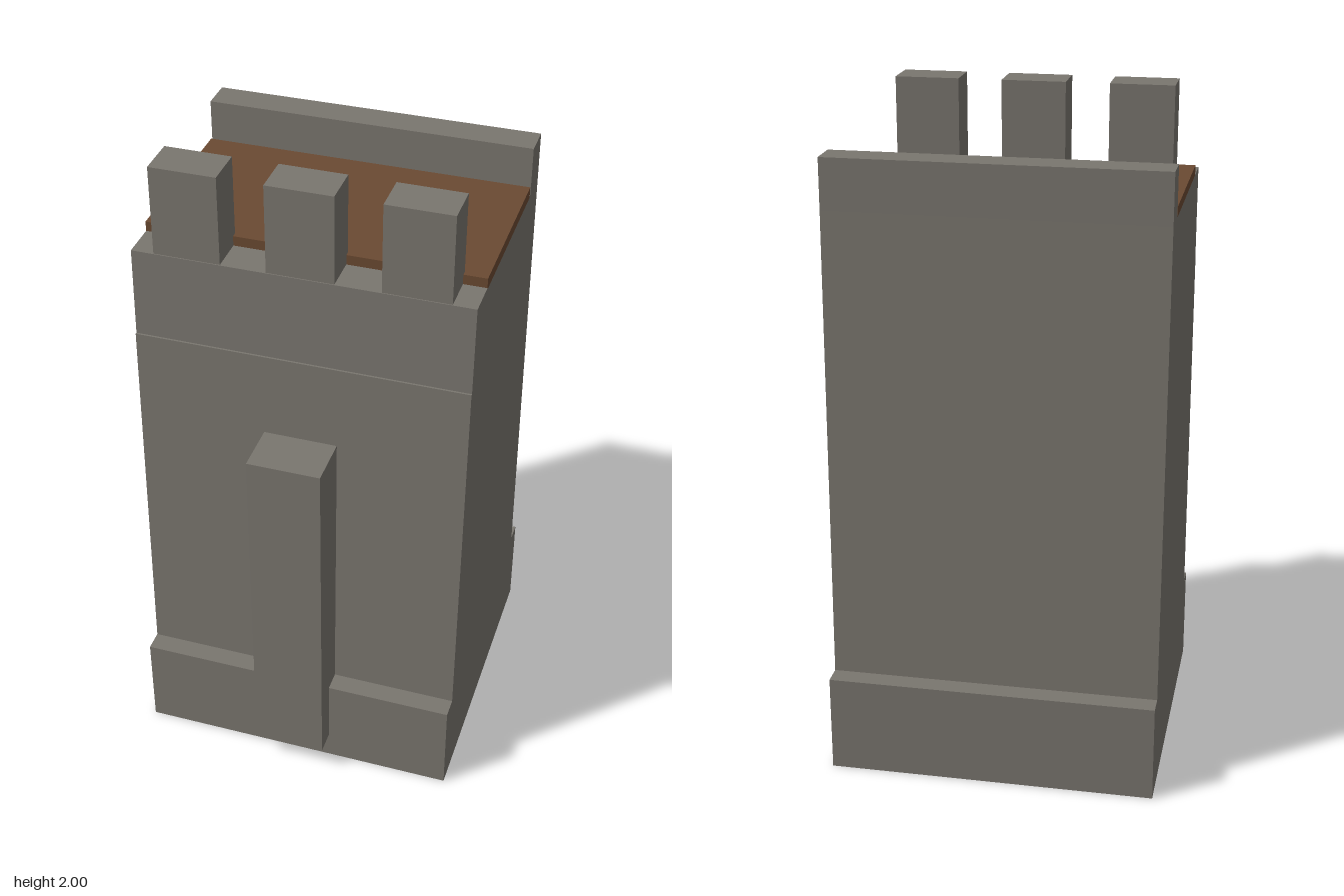
import * as THREE from 'three';

const X0 = -0.495, X1 = 0.493; // ends of the wall section

export function createModel() {
  const model = new THREE.Group();
  const stone = new THREE.MeshStandardMaterial({ color: 0x7a766f });
  stone.name = 'greyStone';
  const wood = new THREE.MeshStandardMaterial({ color: 0x6b4a32 });
  wood.name = 'brownWood';

  const add = (name, geometry, material) => {
    const mesh = new THREE.Mesh(geometry, material);
    mesh.name = name;
    model.add(mesh);
  };

  // Box given by its limits on each axis
  const box = (name, [xa, xb], [ya, yb], [za, zb], material = stone) => {
    const g = new THREE.BoxGeometry(xb - xa, yb - ya, zb - za);
    g.translate((xa + xb) / 2, (ya + yb) / 2, (za + zb) / 2);
    add(name, g, material);
  };

  // Wall body: a (z, y) cross-section swept along x, with plinth,
  // sloping faces, a slight set-back near the top and a rear parapet
  const profile = [
    [-0.505, 0], [0.432, 0], [0.432, 0.3], [0.37, 0.3],
    [0.344, 1.46], [0.338, 1.46], [0.33, 1.73],
    [-0.306, 1.73], [-0.306, 1.88], [-0.404, 1.88], [-0.406, 1.73],
    [-0.443, 0.3], [-0.505, 0.3],
  ].map(([z, y]) => new THREE.Vector2(z, y));
  const wall = new THREE.ExtrudeGeometry(new THREE.Shape(profile), { depth: X1 - X0, bevelEnabled: false });
  wall.rotateY(-Math.PI / 2);
  wall.translate(X1, 0, 0);
  add('wallBody', wall, stone);

  // Plank walkway between the battlements and the parapet
  box('walkway', [X0, X1], [1.725, 1.76], [-0.297, 0.22], wood);

  // Front battlements
  for (const x of [-0.331, -0.002, 0.327]) {
    box('merlon', [x - 0.098, x + 0.098], [1.72, 2], [0.204, 0.327]);
  }

  // Buttress on the front face
  box('buttress', [-0.11, 0.11], [0.09, 1.2], [0.3, 0.505]);

  return model;
}
